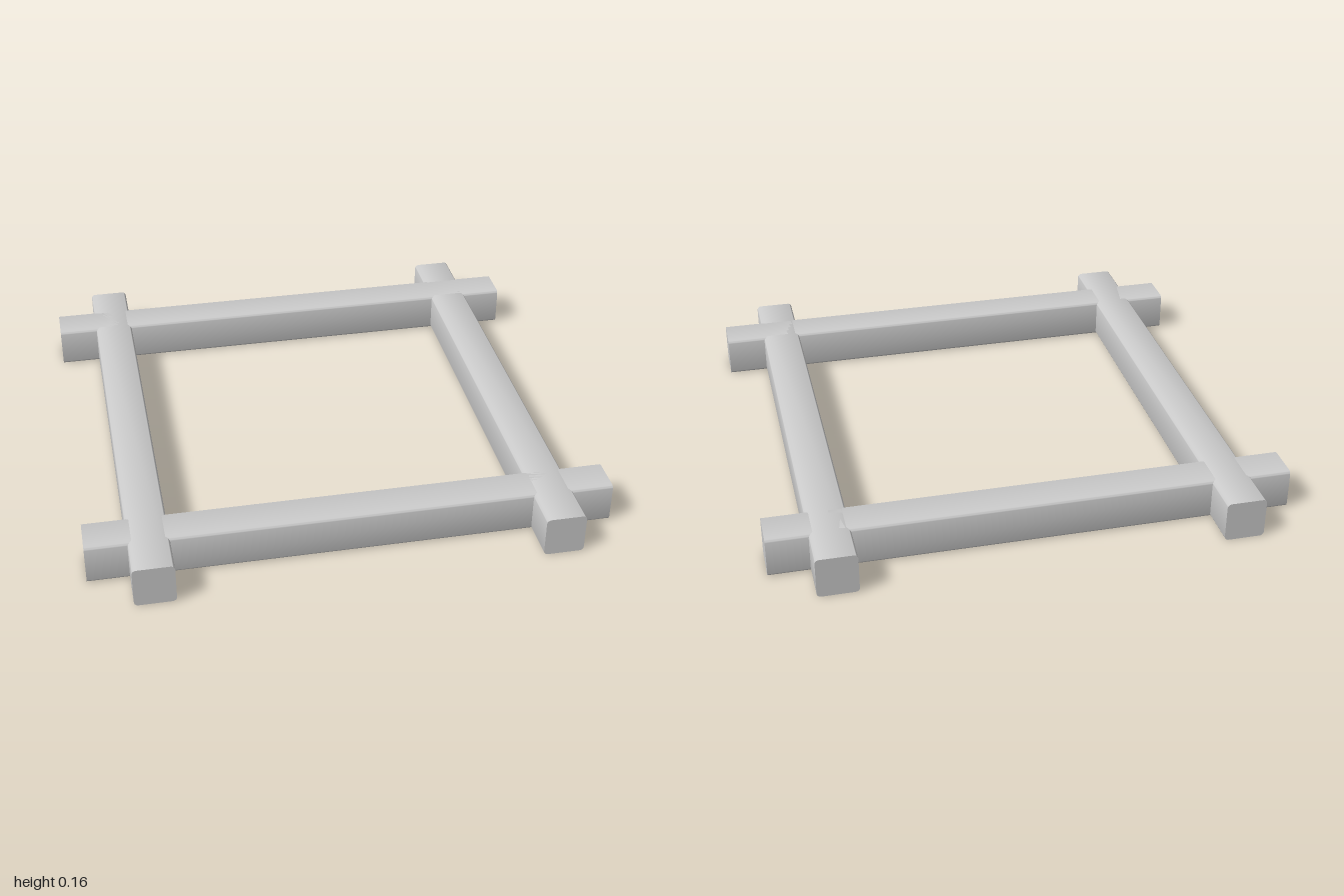
import * as THREE from 'three';
import { toCreasedNormals } from 'three/addons/utils/BufferGeometryUtils.js';

const LENGTH = 2, WIDTH = 0.155, HEIGHT = 0.16, RADIUS = 0.016, OFFSET = 0.765;

// Bar along z: rounded-square section, flat ends, soft long edges
function barGeometry() {
  const w = WIDTH / 2 - RADIUS, h = HEIGHT / 2 - RADIUS;
  const section = new THREE.Shape();
  [[w, h], [-w, h], [-w, -h], [w, -h]].forEach(([x, y], i) => {
    section.absarc(x, y, RADIUS, i * Math.PI / 2, (i + 1) * Math.PI / 2, false);
  });
  section.closePath();
  const geometry = new THREE.ExtrudeGeometry(section, {
    depth: LENGTH, steps: 1, curveSegments: 3, bevelEnabled: false,
  });
  geometry.translate(0, HEIGHT / 2, -LENGTH / 2);
  return toCreasedNormals(geometry, Math.PI / 4);
}

export function createModel() {
  const frame = new THREE.Group();
  frame.name = 'crossedFrame';
  const material = new THREE.MeshStandardMaterial({ color: 0xcccccc });
  const geometry = barGeometry();

  const addBar = (name, x, z, turn) => {
    const bar = new THREE.Mesh(geometry, material);
    bar.name = name;
    bar.position.set(x, 0, z);
    bar.rotation.y = turn;
    frame.add(bar);
  };

  // Side bars run front to back, end bars run across them
  addBar('leftBar', OFFSET, 0, 0);
  addBar('rightBar', -OFFSET, 0, 0);
  addBar('frontBar', 0, OFFSET, Math.PI / 2);
  addBar('backBar', 0, -OFFSET, Math.PI / 2);
  return frame;
}
